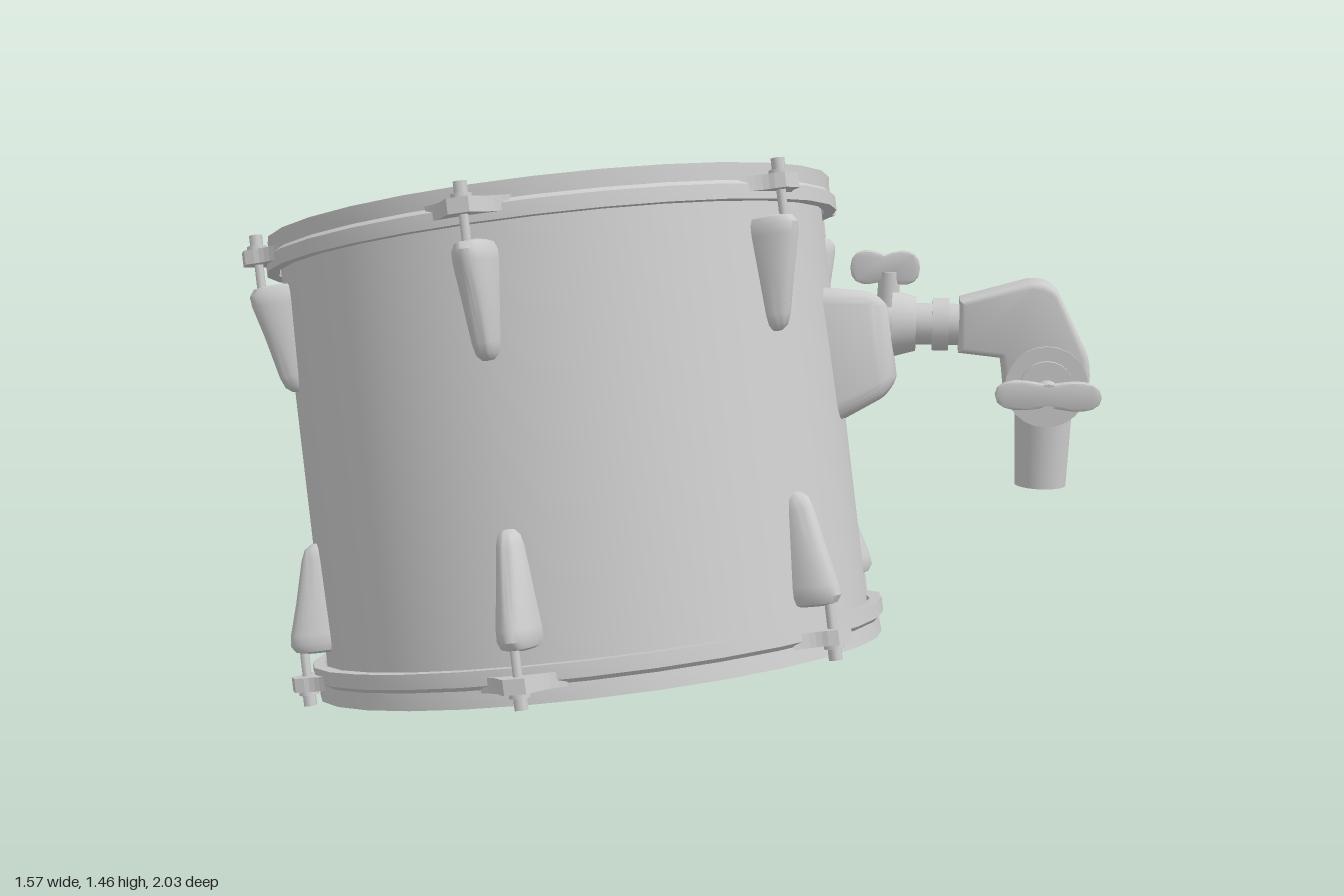
import * as THREE from 'three';
import { toCreasedNormals } from 'three/addons/utils/BufferGeometryUtils.js';
import { RoundedBoxGeometry } from 'three/addons/geometries/RoundedBoxGeometry.js';

const grey = new THREE.MeshStandardMaterial({ color: 0xcccccc });
const greyDouble = new THREE.MeshStandardMaterial({ color: 0xcccccc, side: THREE.DoubleSide });
const LENGTH = 1.153, SIDES = 30;

function add(parent, name, geometry, x = 0, y = 0, z = 0, material = grey) {
  const mesh = new THREE.Mesh(geometry, material);
  mesh.name = name;
  mesh.position.set(x, y, z);
  parent.add(mesh);
  return mesh;
}

const points = list => list.map(([x, y]) => new THREE.Vector2(x, y));

// Hoop with a flange, edge at y = 0 and body reaching down
function hoopGeometry() {
  const profile = [[0.70, -0.085], [0.73, -0.085], [0.73, -0.05], [0.717, -0.04],
    [0.72, 0], [0.706, 0], [0.70, -0.04], [0.70, -0.085]];
  return toCreasedNormals(new THREE.LatheGeometry(points(profile), SIDES), 0.5);
}

// Ear that holds a tension rod, pointing to +z
function earGeometry() {
  const shape = new THREE.Shape();
  shape.moveTo(-0.1, -0.71);
  shape.quadraticCurveTo(-0.05, -0.735, -0.04, -0.765);
  shape.lineTo(-0.025, -0.785);
  shape.lineTo(0.025, -0.785);
  shape.lineTo(0.04, -0.765);
  shape.quadraticCurveTo(0.05, -0.735, 0.1, -0.71);
  const g = new THREE.ExtrudeGeometry(shape, { depth: 0.035, bevelEnabled: false, curveSegments: 5 });
  return g.rotateX(-Math.PI / 2);
}

// Teardrop half body, wide towards the hoop
function lugGeometry() {
  const profile = [[0, -0.39], [0.016, -0.387], [0.027, -0.375], [0.033, -0.35], [0.043, -0.25],
    [0.051, -0.17], [0.051, -0.145], [0.044, -0.128], [0.03, -0.122], [0, -0.12]];
  const g = new THREE.LatheGeometry(points(profile), 14, -Math.PI / 2, Math.PI);
  // Boxier section that leans outward near the hoop
  const p = g.attributes.position;
  for (let i = 0; i < p.count; i++) {
    p.setZ(i, p.getZ(i) * (1.4 + 0.6 * (p.getY(i) + 0.39) / 0.27));
  }
  g.computeVertexNormals();
  return toCreasedNormals(g, 0.7);
}

// One end of the drum: hoop, head and six tuning lugs
function drumEnd(name) {
  const end = new THREE.Group();
  end.name = name;
  add(end, 'hoop', hoopGeometry());
  add(end, 'head', new THREE.CylinderGeometry(0.702, 0.702, 0.02, SIDES), 0, -0.055, 0);
  const ear = earGeometry(), lug = lugGeometry();
  const rod = new THREE.CylinderGeometry(0.011, 0.011, 0.15, 8);
  const bolt = new THREE.CylinderGeometry(0.016, 0.016, 0.03, 8);
  const washer = new THREE.CylinderGeometry(0.024, 0.024, 0.012, 10);
  for (let i = 0; i < 6; i++) {
    const tuner = new THREE.Group();
    tuner.name = 'tuner';
    tuner.rotation.y = i * Math.PI / 3;
    add(tuner, 'ear', ear, 0, -0.068, 0);
    add(tuner, 'lug', lug, 0, 0, 0.682, greyDouble);
    add(tuner, 'tensionRod', rod, 0, -0.08, 0.75);
    add(tuner, 'washer', washer, 0, -0.028, 0.75);
    add(tuner, 'rodHead', bolt, 0, -0.01, 0.75);
    end.add(tuner);
  }
  return end;
}

// Mounting block on the shell, narrowing outward
function blockGeometry() {
  const g = new RoundedBoxGeometry(0.27, 0.34, 0.2, 4, 0.045);
  const p = g.attributes.position;
  for (let i = 0; i < p.count; i++) {
    const t = (p.getZ(i) + 0.1) / 0.2;
    const low = 1 - 0.25 * Math.max(0, -p.getY(i) / 0.17);
    p.setX(i, p.getX(i) * (1 - 0.42 * t * t) * low);
    p.setY(i, p.getY(i) * (1 - 0.36 * t * t) + 0.02 * t);
  }
  return toCreasedNormals(g, 0.6);
}

// Flat two-winged screw handle lying in the yz plane
function wingGeometry(length, height) {
  const s = new THREE.Shape();
  const l = length / 2, h = height / 2;
  s.moveTo(0, -h * 0.55);
  s.bezierCurveTo(l * 0.5, -h, l, -h, l, 0);
  s.bezierCurveTo(l, h, l * 0.5, h, 0, h * 0.55);
  s.bezierCurveTo(-l * 0.5, h, -l, h, -l, 0);
  s.bezierCurveTo(-l, -h, -l * 0.5, -h, 0, -h * 0.55);
  const g = new THREE.ExtrudeGeometry(s, { depth: 0.02, bevelSize: 0.006, bevelThickness: 0.006, bevelSegments: 2, curveSegments: 6 });
  return toCreasedNormals(g.translate(0, 0, -0.01).rotateY(-Math.PI / 2), 0.6);
}

// Arm with elbow, hub, rod socket and wing screws; arm runs along z
function mountArm() {
  const arm = new THREE.Group();
  arm.name = 'mountArm';
  const alongZ = (r1, r2, len) => new THREE.CylinderGeometry(r1, r2, len, 20).rotateX(Math.PI / 2);
  const alongX = (r, len) => new THREE.CylinderGeometry(r, r, len, 24).rotateZ(Math.PI / 2);

  add(arm, 'neck', alongZ(0.052, 0.052, 0.26), 0, 1.02, -0.3);
  add(arm, 'neckCollar', alongZ(0.068, 0.085, 0.06), 0, 1.02, -0.35);
  add(arm, 'neckRing', alongZ(0.066, 0.066, 0.04), 0, 1.02, -0.26);

  const elbow = new THREE.Shape();
  elbow.moveTo(-0.2, 0.97);
  elbow.lineTo(-0.1, 0.96);
  elbow.quadraticCurveTo(-0.09, 0.92, -0.085, 0.86);
  elbow.lineTo(0.085, 0.86);
  elbow.quadraticCurveTo(0.1, 0.93, 0.07, 0.98);
  elbow.lineTo(0.01, 1.1);
  elbow.quadraticCurveTo(-0.01, 1.125, -0.05, 1.118);
  elbow.lineTo(-0.2, 1.075);
  const elbowGeo = new THREE.ExtrudeGeometry(elbow, { depth: 0.1, bevelSize: 0.015, bevelThickness: 0.02, bevelSegments: 3, curveSegments: 6 });
  elbowGeo.translate(0, 0, -0.05).rotateY(-Math.PI / 2);
  add(arm, 'elbow', toCreasedNormals(elbowGeo, 0.6));

  add(arm, 'hub', alongX(0.1, 0.16), 0, 0.88, 0);
  add(arm, 'hubCap', alongX(0.065, 0.19), 0, 0.88, 0);
  add(arm, 'rodSocket', new THREE.CylinderGeometry(0.072, 0.063, 0.25, 24), 0, 0.745, 0);

  add(arm, 'hubScrew', alongX(0.03, 0.1), -0.11, 0.87, 0);
  add(arm, 'hubWing', wingGeometry(0.24, 0.07), -0.145, 0.87, 0);

  add(arm, 'clampScrew', new THREE.CylinderGeometry(0.025, 0.03, 0.1, 12), 0, 1.1, -0.39);
  add(arm, 'clampWing', wingGeometry(0.16, 0.085), 0, 1.16, -0.4);
  return arm;
}

export function createModel() {
  const model = new THREE.Group();
  model.name = 'tomDrum';

  // Tilted drum, origin at the centre of its lower edge
  const drum = new THREE.Group();
  drum.name = 'drum';
  drum.position.set(-0.06, 0.155, 0);
  drum.quaternion.setFromUnitVectors(new THREE.Vector3(0, 1, 0), new THREE.Vector3(0.061, 0.975, -0.2125).normalize());
  add(drum, 'shell', new THREE.CylinderGeometry(0.692, 0.692, LENGTH - 0.1, 48, 1, true), 0, LENGTH / 2, 0, greyDouble);

  const top = drumEnd('topEnd');
  top.position.y = LENGTH;
  const bottom = drumEnd('bottomEnd');
  bottom.rotation.z = Math.PI;
  drum.add(top, bottom);

  const bracket = new THREE.Group();
  bracket.name = 'bracket';
  bracket.rotation.y = 0.57;
  add(bracket, 'mountBlock', blockGeometry(), 0, 0.7, 0.73);
  drum.add(bracket);
  model.add(drum);

  const arm = mountArm();
  arm.position.set(0.67, 0, 0.83);
  arm.rotation.y = 0.585;
  model.add(arm);
  return model;
}
